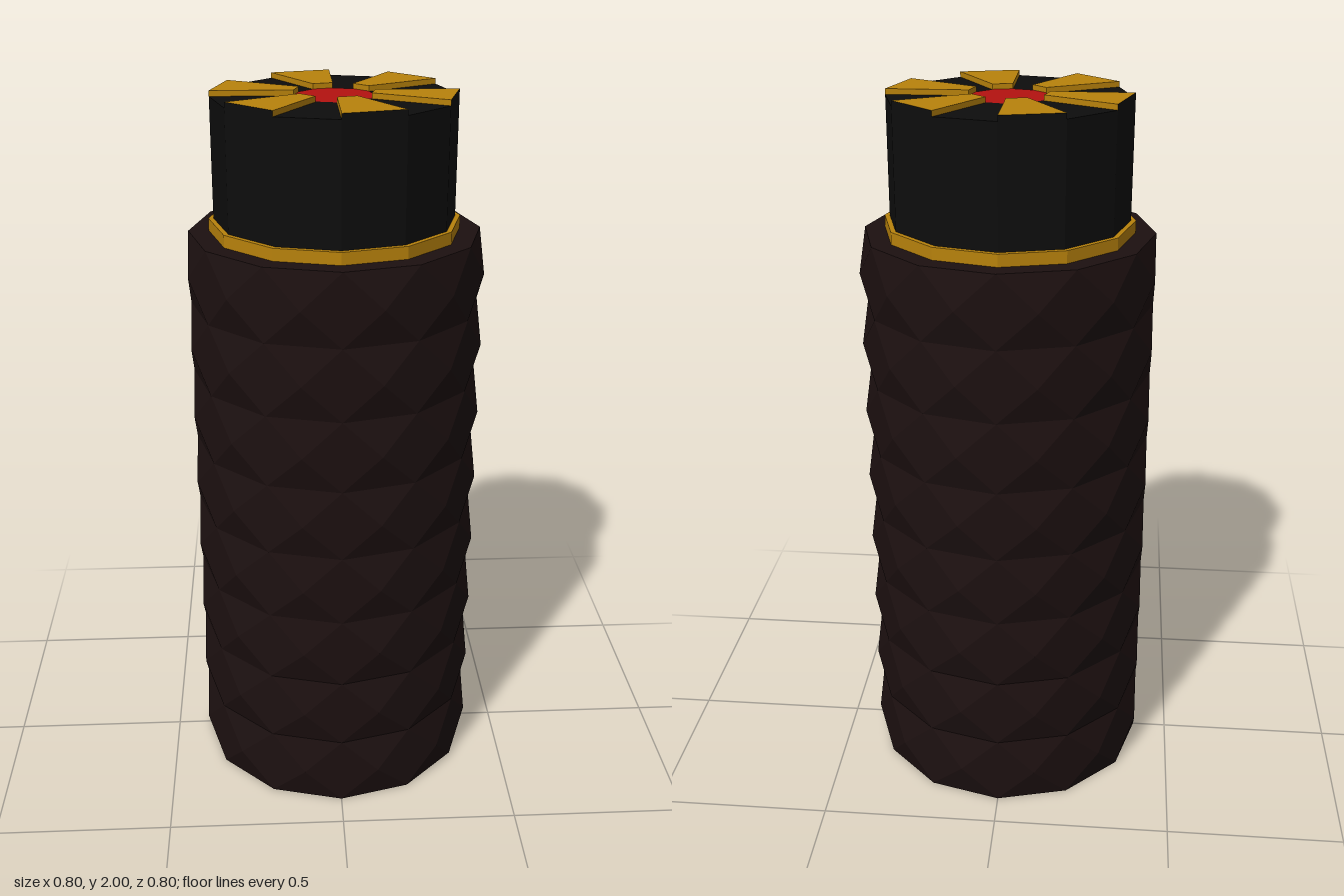
import * as THREE from 'three';

const SIDES = 12, STEP = (Math.PI * 2) / SIDES;
const mat = (color) => new THREE.MeshStandardMaterial({ color, flatShading: true });
const BROWN = mat(0x1c1010), BLACK = mat(0x0d0d0d), GOLD = mat(0xb8820c), RED = mat(0xb41210);

// Point on a ring: radius, angle in steps, height
const at = (r, k, y) => [r * Math.cos(k * STEP), y, r * Math.sin(k * STEP)];
const quad = (a, b, c, d) => [a, b, c, a, c, d];

function add(group, name, geometry, material, y = 0) {
  const mesh = new THREE.Mesh(geometry, material);
  mesh.name = name;
  mesh.position.y = y;
  group.add(mesh);
  return mesh;
}

function facets(points) {
  const g = new THREE.BufferGeometry();
  g.setAttribute('position', new THREE.Float32BufferAttribute(points.flat(), 3));
  g.computeVertexNormals();
  return g;
}

// Twelve-sided disc facing up or down
function disc(radius, up = true) {
  return new THREE.CircleGeometry(radius, SIDES).rotateX(up ? -Math.PI / 2 : Math.PI / 2);
}

// Grip wall: every panel is a shallow four-sided pyramid
function studdedWall(radius, peak, height, rows) {
  const tris = [], h = height / rows;
  for (let row = 0; row < rows; row++) {
    for (let k = 0; k < SIDES; k++) {
      const y0 = row * h, y1 = y0 + h;
      const corners = [at(radius, k + 1, y0), at(radius, k, y0), at(radius, k, y1), at(radius, k + 1, y1)];
      const apex = at(peak, k + 0.5, y0 + h / 2);
      corners.forEach((c, i) => tris.push(c, corners[(i + 1) % 4], apex));
    }
  }
  return facets(tris);
}

export function createModel() {
  const model = new THREE.Group();
  const gripTop = 1.626, collarTop = 1.66, capTop = 1.985, top = 2;
  const capR = 0.33, hubR = 0.108;

  // Studded grip with flat ends
  add(model, 'gripWall', studdedWall(0.4, 0.414, gripTop, 8), BROWN);
  add(model, 'gripBottom', disc(0.4, false), BROWN);
  add(model, 'gripTop', disc(0.4), BROWN, gripTop);

  // Collar and cap
  const collarH = collarTop - gripTop;
  add(model, 'collar', new THREE.CylinderGeometry(0.344, 0.344, collarH, SIDES), GOLD, gripTop + collarH / 2);
  const capH = capTop - collarTop;
  add(model, 'cap', new THREE.CylinderGeometry(capR, capR, capH, SIDES), BLACK, collarTop + capH / 2);

  // Hub disc, sunk between the raised wedges
  add(model, 'hub', disc(hubR), RED, capTop + 0.001);

  // Raised wedges: coloured top and inner walls, rim wall matching the cap
  for (let k = 0; k < SIDES; k += 2) {
    const o = (s, y) => at(capR, k + s, y), i = (s, y) => at(hubR, k + s, y);
    const wedge = [
      ...quad(o(1, top), o(0, top), i(0, top), i(1, top)),
      ...quad(i(0, capTop), i(1, capTop), i(1, top), i(0, top)),
      ...quad(o(0, capTop), i(0, capTop), i(0, top), o(0, top)),
      ...quad(i(1, capTop), o(1, capTop), o(1, top), i(1, top)),
    ];
    const rim = quad(o(1, capTop), o(0, capTop), o(0, top), o(1, top));
    add(model, 'wedge', facets(wedge), GOLD);
    add(model, 'wedgeRim', facets(rim), BLACK);
  }
  return model;
}
